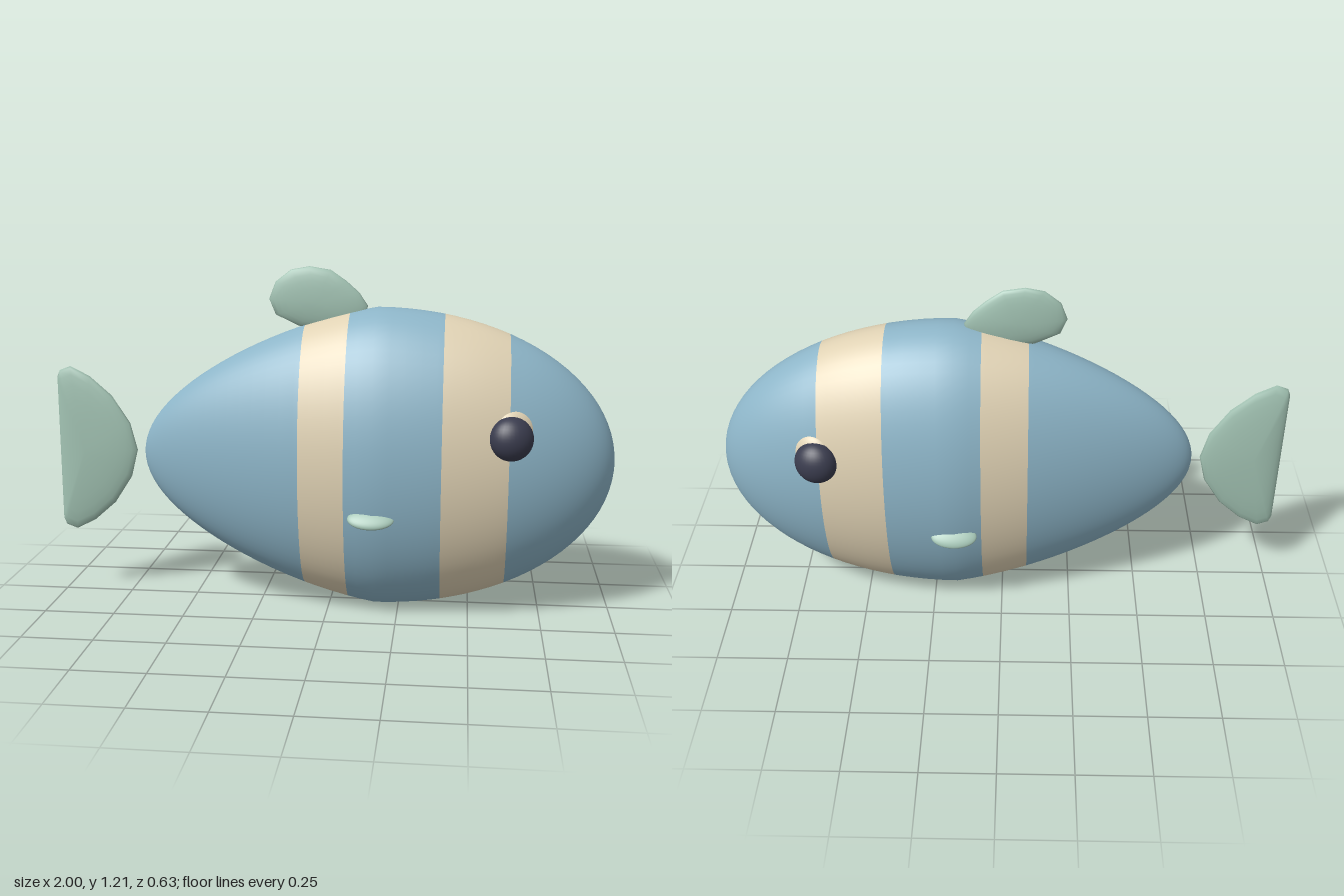
import * as THREE from 'three';
import { mergeVertices } from 'three/addons/utils/BufferGeometryUtils.js';

const material = (name, color) => {
  const m = new THREE.MeshStandardMaterial({ color });
  m.name = name;
  return m;
};

// Body sizes: widest at x = MID, elliptical sections, tapered towards the tail
const MID = 0.165, NOSE = 1.0, REAR = -0.68, CY = 0.539, HALF_H = 0.537, HALF_W = 0.3;
const STRIPES = [[-0.09, 0.07], [0.4, 0.625]];

function bodyRadii(x) {
  const t = x > MID ? (x - MID) / (NOSE - MID) : (MID - x) / (MID - REAR);
  const r = Math.sqrt(Math.max(0, 1 - t * t));
  const [kh, kw] = x > MID ? [0, 0] : [0.26, 0.45];
  return [HALF_H * r * (1 - kh * t), HALF_W * r * (1 - kw * t)];
}

// Loft of elliptical rings along x; triangles between stripe edges take material 1
function bodyGeometry() {
  const xs = [...STRIPES.flat()], N = 24, SEG = 64;
  for (let i = 0; i <= N; i++) {
    const c = Math.cos((i / N) * Math.PI / 2);
    xs.push(MID + (NOSE - MID) * c);
    if (i < N) xs.push(MID - (MID - REAR) * c);
  }
  xs.sort((a, b) => a - b);
  const pos = [], index = [], geo = new THREE.BufferGeometry();
  xs.forEach((x, j) => {
    const [h, w] = bodyRadii(x);
    for (let i = 0; i < SEG; i++) {
      const a = (i / SEG) * Math.PI * 2;
      pos.push(x, CY + h * Math.cos(a), w * Math.sin(a));
    }
    if (j === xs.length - 1) return;
    const mid = (x + xs[j + 1]) / 2;
    geo.addGroup(index.length, SEG * 6, STRIPES.some(([a, b]) => mid > a && mid < b) ? 1 : 0);
    for (let i = 0; i < SEG; i++) {
      const k = (i + 1) % SEG, a = j * SEG + i, b = j * SEG + k, c = a + SEG, d = b + SEG;
      index.push(a, b, c, b, d, c);
    }
  });
  geo.setAttribute('position', new THREE.Float32BufferAttribute(pos, 3));
  geo.setIndex(index);
  const merged = mergeVertices(geo, 1e-5);
  merged.computeVertexNormals();
  return merged;
}

// Puffed fin: a sphere whose rings follow an outline (anticlockwise seen from +z)
function finGeometry(outline, cx, cy, thick) {
  const n = outline.length, layers = 14;
  const geo = new THREE.SphereGeometry(1, n, layers);
  const p = geo.attributes.position;
  for (let j = 0, v = 0; j <= layers; j++) {
    const a = (j / layers) * Math.PI, s = Math.sin(a);
    for (let i = 0; i <= n; i++, v++) {
      const [x, y] = outline[i % n];
      p.setXYZ(v, cx + (x - cx) * s, cy + (y - cy) * s, thick * Math.cos(a));
    }
  }
  geo.deleteAttribute('uv');
  geo.deleteAttribute('normal');
  const merged = mergeVertices(geo, 1e-5);
  merged.computeVertexNormals();
  return merged;
}

export function createModel() {
  const blue = material('body blue', 0x8db5c8);
  const sand = material('stripe sand', 0xe0d2b4);
  const green = material('fin green', 0xa3c4b4);
  const dark = material('eye dark', 0x3a3c4e);
  const group = new THREE.Group();
  const add = (name, geo, mat) => {
    const mesh = new THREE.Mesh(geo, mat);
    mesh.name = name;
    group.add(mesh);
    return mesh;
  };

  add('body', bodyGeometry(), [blue, sand]);

  // Tail fin, symmetric about the body's axis
  const half = [[-0.735, 0.1], [-0.8, 0.2], [-0.88, 0.27], [-0.95, 0.305], [-0.99, 0.29], [-1, 0.265]];
  const tail = [[-0.71, 0], ...half, [-1, 0.1], [-1, -0.1], ...half.map(([x, y]) => [x, -y]).reverse()];
  add('tailFin', finGeometry(tail.map(([x, y]) => [x, y + 0.543]), -0.9, 0.543, 0.03), green);

  // Top fin
  const top = [[0.13, 1.08], [0.1, 1.125], [0.055, 1.165], [0, 1.203], [-0.075, 1.215], [-0.14, 1.203],
    [-0.195, 1.16], [-0.218, 1.1], [-0.195, 1.045], [-0.11, 1.005], [0, 0.99], [0.12, 1.02]];
  add('topFin', finGeometry(top, -0.05, 1.09, 0.026), green);

  // Paired eyes and side fins
  const ball = new THREE.SphereGeometry(1, 32, 20);
  for (const [side, s] of [['left', 1], ['right', -1]]) {
    const rim = add(side + 'EyeRim', ball, sand);
    rim.position.set(0.643, 0.69, s * 0.212);
    rim.scale.set(0.071, 0.071, 0.034);
    rim.rotation.set(-s * 0.2, s * 0.35, 0);

    const eye = add(side + 'Eye', ball, dark);
    eye.position.set(0.63, 0.667, s * 0.235);
    eye.scale.set(0.075, 0.075, 0.058);
    eye.rotation.set(-s * 0.15, s * 0.2, 0);

    const fin = add(side + 'SideFin', ball, green);
    fin.position.set(0.165, 0.388, s * 0.283);
    fin.scale.set(0.08, 0.016, 0.042);
    fin.rotation.x = s * 0.75;
  }
  return group;
}
